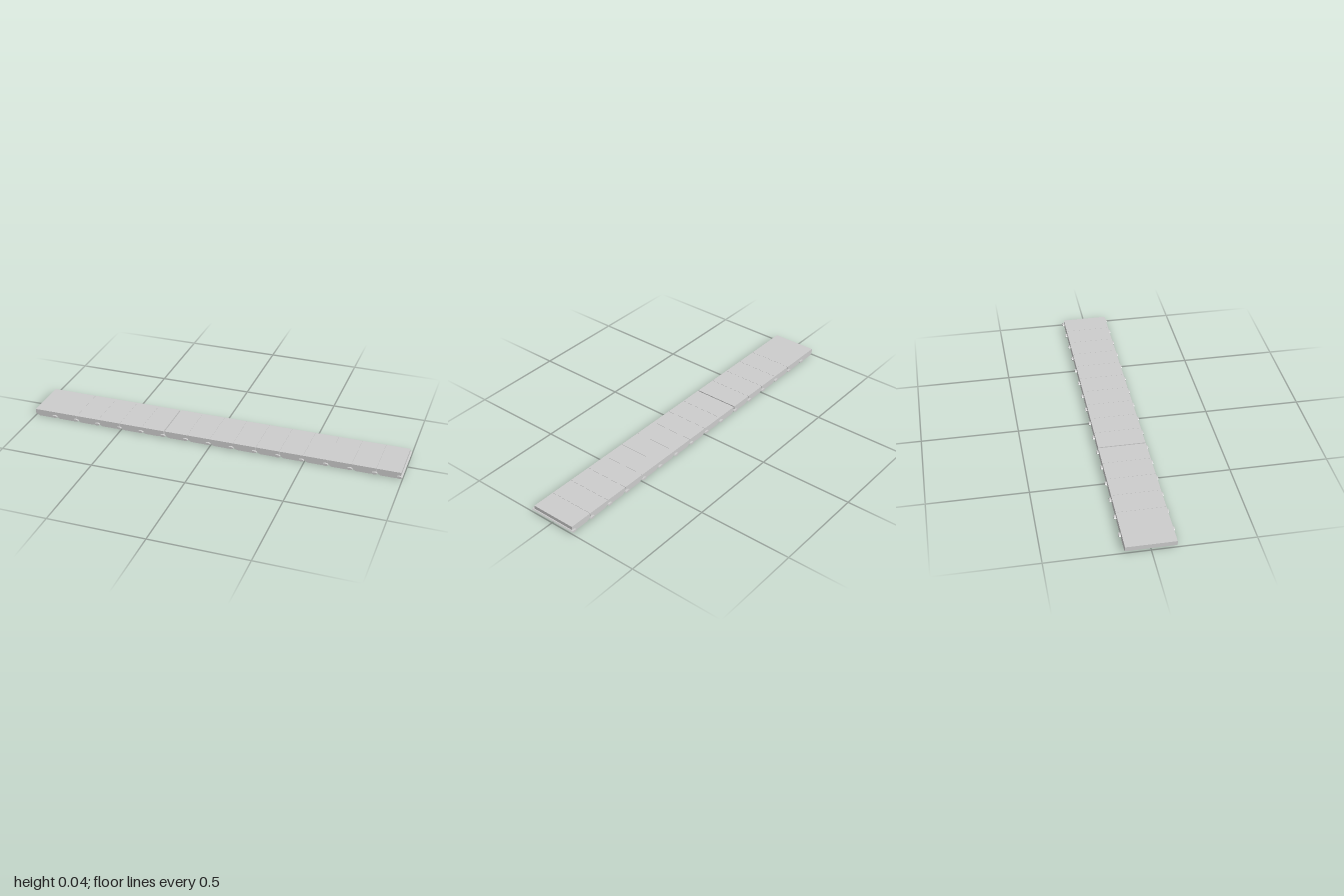
import * as THREE from 'three';

const LINKS = 16, PITCH = 0.1246, WIDTH = 0.244;

export function createModel() {
  const group = new THREE.Group();
  group.name = 'trackStrip';
  const material = new THREE.MeshStandardMaterial({ color: 0xcccccc, flatShading: true });

  // Link cross-section: flat tread on top, underside chamfered at both ends
  const L = PITCH - 0.001;
  const profile = new THREE.Shape([
    [0, 0.035], [0, 0.012], [0.022, 0], [L - 0.026, 0], [L, 0.012], [L, 0.035],
  ].map(([x, y]) => new THREE.Vector2(x, y)));
  const linkGeometry = new THREE.ExtrudeGeometry(profile, { depth: WIDTH, bevelEnabled: false });
  linkGeometry.translate(0, 0, -WIDTH / 2);

  // Flattened hinge pin running right across the strip
  const pinGeometry = new THREE.CylinderGeometry(1, 1, 0.264, 8);
  pinGeometry.rotateX(Math.PI / 2);
  pinGeometry.scale(0.015, 0.0065, 1);

  for (let i = 0; i < LINKS; i++) {
    const link = new THREE.Mesh(linkGeometry, material);
    link.name = 'trackLink';
    // The strip has one slightly wider joint after the sixth link
    link.position.x = -1 + i * PITCH - (i < 6 ? 0 : 0.001) - (i > 0 && i < 6 ? 0.006 : 0);
    const pin = new THREE.Mesh(pinGeometry, material);
    pin.name = 'hingePin';
    pin.position.set(-0.886 + i * 0.1247, 0.0115, 0);
    group.add(link, pin);
  }
  return group;
}
